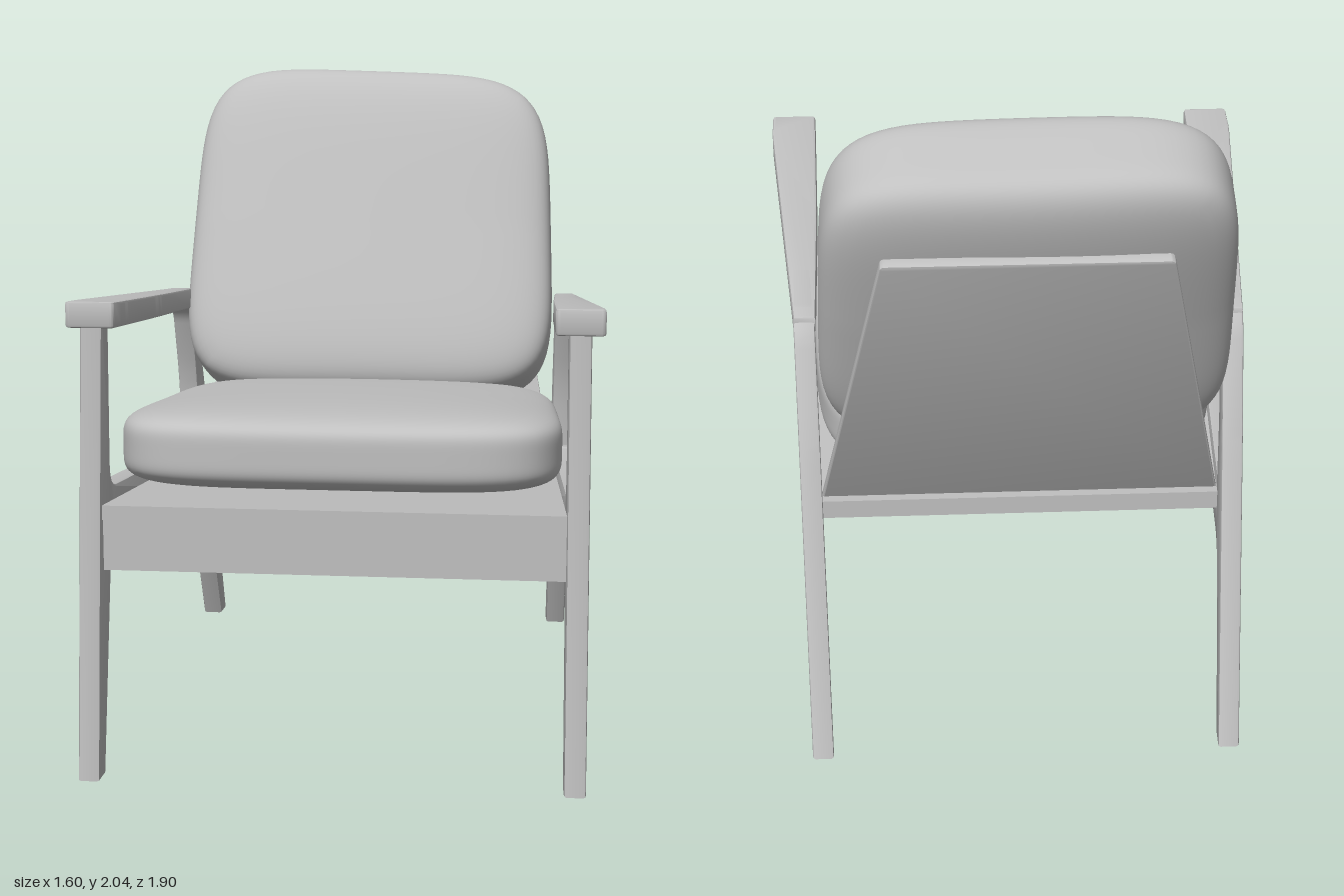
import * as THREE from 'three';
import { mergeVertices, toCreasedNormals } from 'three/addons/utils/BufferGeometryUtils.js';

const grey = new THREE.MeshStandardMaterial({ color: 0xc0c0c0 });
grey.name = 'plain grey';

// Polygon with rounded corners; each point is [x, y, radius]
function rounded(points, path) {
  const n = points.length;
  points.forEach(([x, y, r = 0], i) => {
    const toward = ([px, py]) => {
      const k = r / Math.hypot(px - x, py - y);
      return [x + (px - x) * k, y + (py - y) * k];
    };
    const a = toward(points[(i + n - 1) % n]);
    const b = toward(points[(i + 1) % n]);
    if (i === 0) path.moveTo(...a); else path.lineTo(...a);
    if (r) path.quadraticCurveTo(x, y, ...b);
  });
  path.closePath();
  return path;
}

// Move every vertex by a rule
function warp(geometry, rule) {
  const p = geometry.attributes.position, v = new THREE.Vector3();
  for (let i = 0; i < p.count; i++) {
    rule(v.fromBufferAttribute(p, i));
    p.setXYZ(i, v.x, v.y, v.z);
  }
  return geometry;
}

// Extrusion centred on its depth, with slightly eased edges
function slab(shape, depth, ease = 0.008) {
  const g = new THREE.ExtrudeGeometry(shape, {
    depth: depth - 2 * ease, curveSegments: 8, bevelEnabled: ease > 0,
    bevelThickness: ease, bevelSize: ease, bevelOffset: -ease, bevelSegments: 2,
  });
  return g.translate(0, 0, -(depth - 2 * ease) / 2);
}

// Soft rounded block spanning -1..1 before it is shaped by the rule
function cushion(power, rule) {
  const g = new THREE.BoxGeometry(2, 2, 2, 28, 28, 28);
  g.deleteAttribute('uv');
  g.deleteAttribute('normal');
  warp(g, v => {
    const s = Math.abs(v.x) ** power + Math.abs(v.y) ** power + Math.abs(v.z) ** power;
    v.multiplyScalar(s ** (-1 / power));
    rule(v);
  });
  const merged = mergeVertices(g, 1e-5);
  merged.computeVertexNormals();
  return merged;
}

export function createModel() {
  const group = new THREE.Group();
  const add = (name, geometry) => {
    const mesh = new THREE.Mesh(geometry, grey);
    mesh.name = name;
    group.add(mesh);
    return mesh;
  };
  const crease = g => toCreasedNormals(g, 0.6);

  // Side frame profile in (z, y): two raked legs, rail and arm in one piece
  const frame = rounded([
    [0.965, 0], [0.83, 1.37], [0.83, 1.445], [-0.445, 1.30, 0.09],
    [-0.60, 0.95, 0.1], [-0.93, 0], [-0.855, 0], [-0.60, 0.55, 0.09],
    [0.76, 0.685, 0.07], [0.89, 0],
  ], new THREE.Shape());
  frame.holes.push(rounded([
    [0.75, 1.365], [0.76, 0.87, 0.08], [-0.505, 0.738, 0.015],
    [-0.48, 0.97, 0.1], [-0.39, 1.245, 0.07],
  ], new THREE.Path()));

  for (const side of [1, -1]) {
    const label = side > 0 ? 'left' : 'right';
    const g = slab(frame, 0.066).rotateY(-Math.PI / 2);
    warp(g, v => { v.x += side * (0.685 + 0.05 * v.z); });
    add(label + 'SideFrame', crease(g));

    // Armrest, wide in front and tapering into the back leg
    const outline = rounded([
      [side * 0.652, 0.85, 0.015], [side * 0.80, 0.85, 0.015], [side * 0.798, 0.72, 0.03],
      [side * 0.695, -0.43], [side * 0.628, -0.43], [side * 0.634, 0.2, 0.1], [side * 0.648, 0.7, 0.05],
    ], new THREE.Shape());
    const arm = slab(outline, 0.078).rotateX(Math.PI / 2);
    warp(arm, v => { v.y = v.y * (0.93 + 0.1 * v.z) + 1.315 + 0.114 * v.z; });
    add(label + 'Armrest', crease(arm));
  }

  // Rails across the front and back
  const frontRail = new THREE.BoxGeometry(1.4, 0.155, 0.07).translate(0, 0.7125, 0.825);
  add('frontRail', frontRail);
  add('backRail', new THREE.BoxGeometry(1.27, 0.06, 0.05).translate(0, 0.675, -0.515));

  // Sloping seat board, narrower at the back
  const board = new THREE.BoxGeometry(2, 0.045, 1.38).translate(0, 0, 0.18);
  warp(board, v => {
    v.x *= 0.654 + 0.05 * v.z;
    v.y += 0.724 + 0.104 * v.z;
  });
  board.computeVertexNormals();
  add('seatBoard', board);

  // Reclined back board, tapering upward
  const backShape = rounded([
    [-0.63, 0], [0.63, 0], [0.42, 1.11, 0.015], [-0.42, 1.11, 0.015],
  ], new THREE.Shape());
  const backBoard = add('backBoard', crease(slab(backShape, 0.035, 0.005)));
  backBoard.position.set(0, 0.68, -0.478);
  backBoard.rotation.x = -0.393;

  // Seat cushion with a gentle crown
  add('seatCushion', cushion(5, v => {
    const crown = (1 - v.x * v.x) * (1 - v.z * v.z);
    const z = 0.205 + 0.705 * v.z;
    const half = 0.125 + 0.02 * crown * (v.y > 0 ? 1 : 0);
    const wave = 0.012 * v.x * v.x * Math.max(0, v.z) * Math.max(0, v.y);
    v.set(v.x * (0.65 + 0.05 * z), 0.915 + 0.1 * z + v.y * half + wave, z);
  }));

  // Back cushion leaning on the back board, a little uneven along its top
  const along = new THREE.Vector2(-0.383, 0.924), out = new THREE.Vector2(0.924, 0.383);
  add('backCushion', cushion(5, v => {
    const top = Math.max(0, v.y);
    const s = 0.475 + 0.58 * v.y - 0.022 * top * (v.x + 0.4);
    const t = 0.222 + 0.205 * v.z * (1 - 0.1 * v.x * v.x) + 0.012 * top * v.x;
    v.set(
      v.x * (0.622 - 0.022 * v.y) - 0.012,
      0.95 + s * along.y + t * out.y,
      -0.60 + s * along.x + t * out.x,
    );
  }));

  return group;
}
